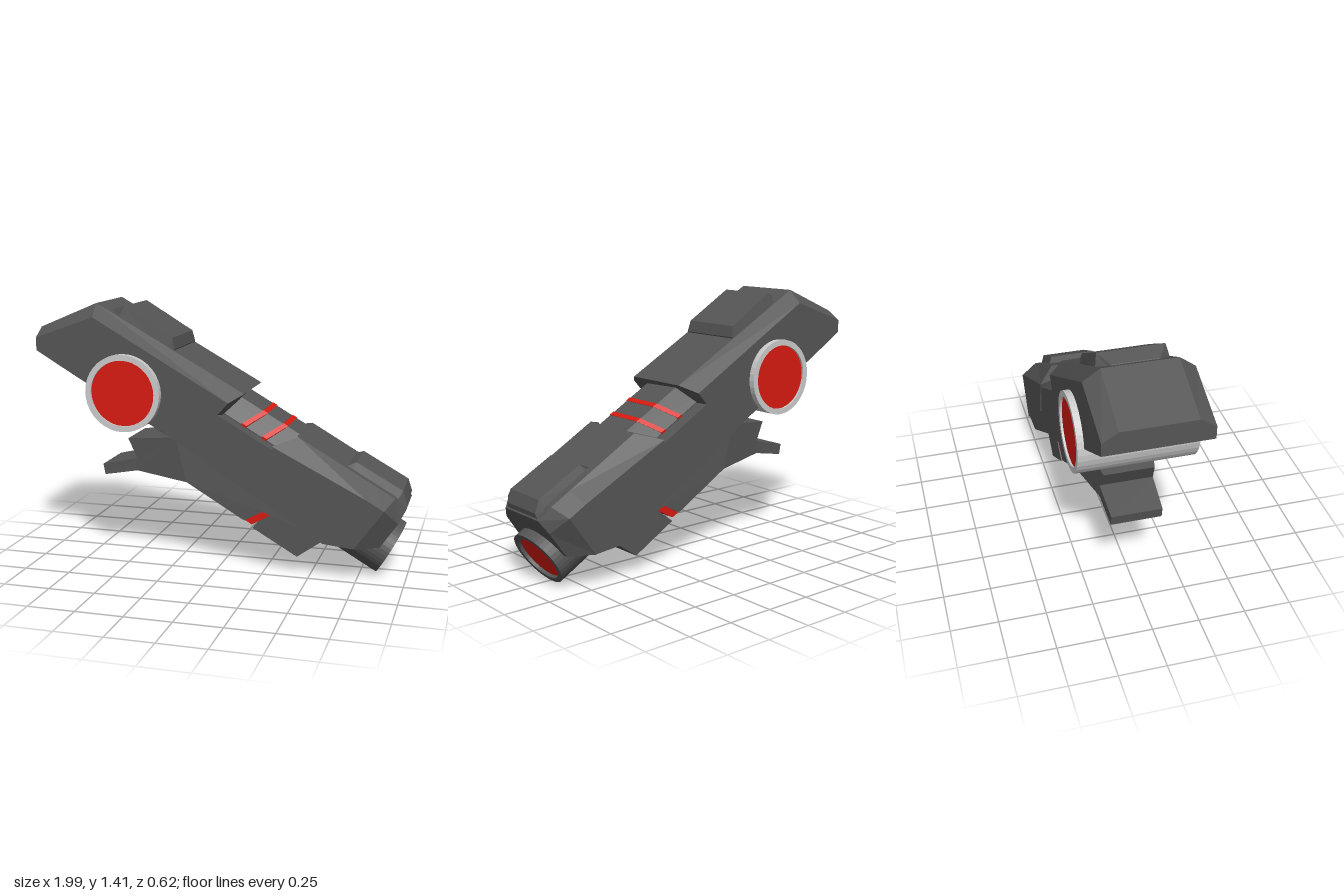
import * as THREE from 'three';

const dark = new THREE.MeshStandardMaterial({ color: 0x555555, flatShading: true, side: THREE.DoubleSide });
const grey = new THREE.MeshStandardMaterial({ color: 0xcccccc, flatShading: true, side: THREE.DoubleSide });
const red = new THREE.MeshStandardMaterial({ color: 0xd81a10, flatShading: true });

// Joins mirrored cross-sections; each is a half outline of [u, v, z], top to bottom
function loft(sections) {
  const rings = sections.map(h => [...h, ...[...h].reverse().map(([u, v, z]) => [u, v, -z])]);
  const n = rings[0].length, pos = [];
  const tri = (a, b, c) => pos.push(...a, ...b, ...c);
  for (let r = 0; r < rings.length - 1; r++) {
    const a = rings[r], b = rings[r + 1];
    for (let i = 0; i < n; i++) {
      const j = (i + 1) % n;
      tri(a[i], a[j], b[j]);
      tri(a[i], b[j], b[i]);
    }
  }
  const first = rings[0], last = rings[rings.length - 1];
  for (let i = 1; i < n - 1; i++) {
    tri(first[0], first[i + 1], first[i]);
    tri(last[0], last[i], last[i + 1]);
  }
  const g = new THREE.BufferGeometry();
  g.setAttribute('position', new THREE.Float32BufferAttribute(pos, 3));
  g.computeVertexNormals();
  return g;
}

function add(parent, name, geometry, material) {
  const m = new THREE.Mesh(geometry, material);
  m.name = name;
  parent.add(m);
  return m;
}

const lathe = (pts, sides) => new THREE.LatheGeometry(pts.map(p => new THREE.Vector2(...p)), sides);

// Side outline extruded across z; halfWidth(x) gives its half thickness
function plate(points, halfWidth) {
  const shape = new THREE.Shape(points.map(p => new THREE.Vector2(...p)));
  const g = new THREE.ExtrudeGeometry(shape, { depth: 2, bevelEnabled: false }).translate(0, 0, -1);
  const p = g.attributes.position;
  for (let i = 0; i < p.count; i++) p.setZ(i, p.getZ(i) * halfWidth(p.getX(i)));
  g.computeVertexNormals();
  return g;
}

export function createModel() {
  const root = new THREE.Group();
  root.name = 'device';

  // Body is laid out along its own axis, then tilted nose down
  const body = new THREE.Group();
  body.name = 'body';
  body.rotation.z = -Math.PI / 6;
  root.add(body);

  add(body, 'rearHull', loft([
    [[-1.506, .608, .19], [-1.481, .565, .27], [-1.446, .505, .27]],
    [[-1.296, .885, .19], [-1.254, .832, .275], [-1.2, .505, .275]],
    [[-.363, .9, .19], [-.4, .835, .275], [-.468, .505, .275]],
  ]), dark);

  add(body, 'roofPanel', loft([
    [[-1.215, .89, .12], [-1.215, .85, .12]],
    [[-1.155, .952, .17], [-1.155, .85, .19]],
    [[-.845, .945, .175], [-.845, .85, .19]],
    [[-.803, .9, .185], [-.803, .85, .19]],
  ]), dark);

  add(body, 'lowerHull', loft([
    [[-.6, .751, .275], [-.6, .505, .275]],
    [[.397, .751, .275], [.397, .47, .275]],
    [[.54, .751, .275], [.54, .535, .275]],
    [[.63, .751, .2], [.64, .59, .2]],
  ]), dark);

  add(body, 'ridge', loft([-.5, .03].map(u => [[u, .857, .115], [u, .757, .2], [u, .7, .2]])), dark);

  // Chevron stripes across the ridge
  for (const u of [-.24, -.113]) {
    add(body, 'stripe', loft([u, u + .028].map(s =>
      [[s, .861, .116], [s - .053, .764, .203], [s - .053, .72, .2]])), red);
  }

  add(body, 'frontHood', loft([
    [[-.003, .862, .19], [-.09, .77, .283], [.057, .607, .283]],
    [[.46, .862, .19], [.46, .8, .283], [.46, .593, .283]],
    [[.585, .862, .19], [.57, .8, .283], [.545, .54, .283]],
    [[.665, .828, .15], [.667, .76, .2], [.655, .6, .21]],
  ]), dark);

  add(body, 'hoodCap', loft([
    [[.287, .86, .15], [.287, .83, .15]],
    [[.318, .9, .13], [.318, .83, .16]],
    [[.598, .904, .13], [.6, .83, .16]],
    [[.65, .858, .13], [.66, .82, .14]],
  ]), dark);

  // Oval barrel under the body with a recessed lens
  const barrel = new THREE.Group();
  barrel.name = 'barrel';
  barrel.position.set(0, .568, 0);
  body.add(barrel);
  const along = g => g.rotateZ(-Math.PI / 2).scale(1, .152, .185);
  add(barrel, 'barrelTube', along(lathe([[0, -.9], [1, -.9], [1, .714], [.83, .714], [.83, .69]], 40)), dark);
  add(barrel, 'barrelLens', along(new THREE.CylinderGeometry(.83, .83, .1, 40).translate(0, .645, 0)), red);

  // Cross drum with a red disc at each end
  const drum = new THREE.Group();
  drum.name = 'drum';
  drum.position.set(-.909, .575, 0);
  drum.rotation.x = Math.PI / 2;
  body.add(drum);
  add(drum, 'drumRim', lathe([[.176, -.29], [.176, -.309], [.207, -.309], [.207, .309], [.176, .309], [.176, .29]], 36), grey);
  add(drum, 'drumDiscs', new THREE.CylinderGeometry(.176, .176, .595, 36), red);

  // Keel with a narrowing tail
  const keelWidth = x => THREE.MathUtils.clamp(.2 + (x + .2) * .2, .135, .2);
  add(root, 'keel', plate([
    [-.2, .76], [-.246, .706], [-.535, .673], [-.48, .567], [-.685, .519], [-.674, .46], [-.48, .497],
    [-.18, .465], [.13, .283], [.144, .278], [.24, .333], [.283, .315], [.187, .24], [.43, .1], [.58, .208], [.5, .4],
  ], keelWidth), dark);
  add(root, 'keelLight', plate([[.144, .278], [.24, .333], [.283, .315], [.18, .257]], () => .195), red);

  return root;
}
